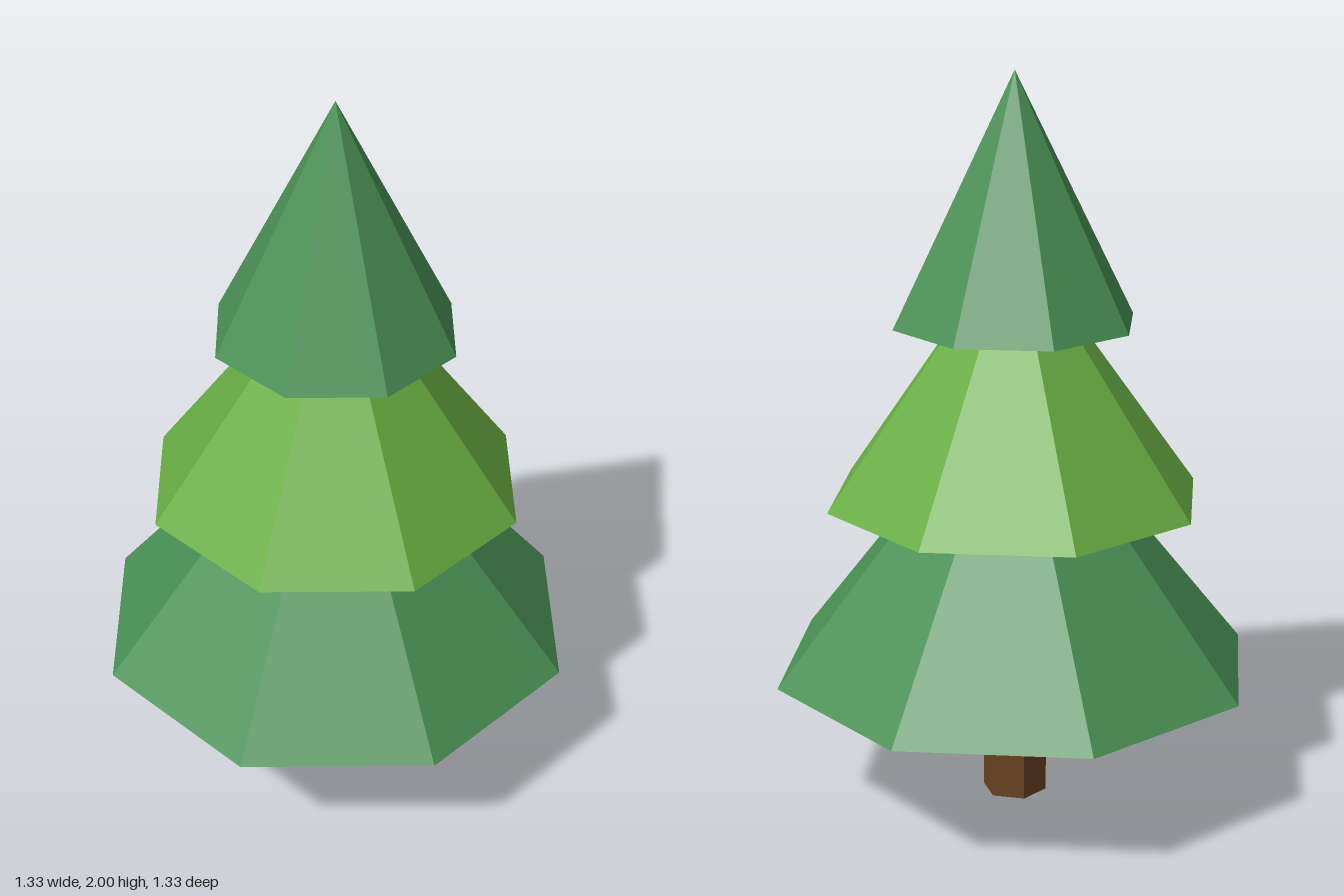
import * as THREE from 'three';

export function createModel() {
  const tree = new THREE.Group();
  tree.name = 'pineTree';

  const paint = (name, color) => {
    const material = new THREE.MeshStandardMaterial({ color });
    material.name = name;
    return material;
  };
  const bark = paint('bark brown', 0x6b4423);
  const deepGreen = paint('deep green', 0x4a9155);
  const freshGreen = paint('fresh green', 0x68ad42);

  // Adds a faceted part standing on the given height
  const addPart = (name, geometry, material, base, height) => {
    const flat = geometry.toNonIndexed();
    flat.computeVertexNormals();
    const mesh = new THREE.Mesh(flat, material);
    mesh.name = name;
    mesh.position.y = base + height / 2;
    tree.add(mesh);
  };

  // Six-sided trunk with corners on the z axis
  addPart('trunk', new THREE.CylinderGeometry(0.089, 0.089, 0.48, 6), bark, 0, 0.48);

  // Three overlapping eight-sided foliage tiers: name, radius, base, height, colour
  const tiers = [
    ['lowerFoliage', 0.665, 0.376, 0.83, deepGreen],
    ['middleFoliage', 0.517, 0.857, 0.72, freshGreen],
    ['upperFoliage', 0.332, 1.34, 0.66, deepGreen],
  ];
  for (const [name, radius, base, height, material] of tiers) {
    addPart(name, new THREE.ConeGeometry(radius, height, 8), material, base, height);
  }

  return tree;
}
